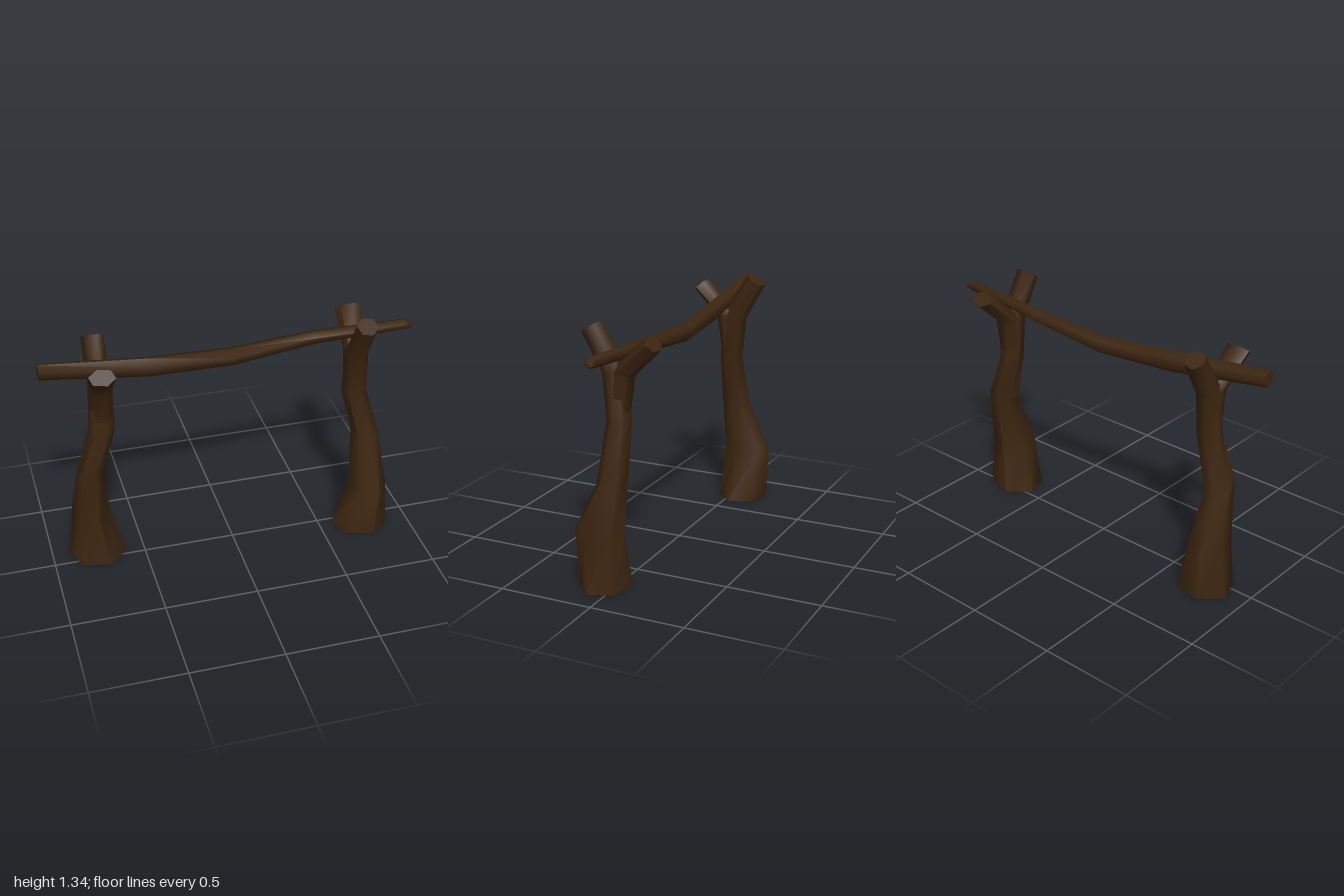
import * as THREE from 'three';
import { toCreasedNormals } from 'three/addons/utils/BufferGeometryUtils.js';

const SIDES = 6;

// Capped skin over rings { c: centre, u, v: half axes }, with u x v against the path.
function loft(rings, phase) {
  const pos = [], index = [];
  for (const { c, u, v } of rings) {
    for (let j = 0; j < SIDES; j++) {
      const a = phase + (j / SIDES) * Math.PI * 2;
      const p = c.clone().addScaledVector(u, Math.cos(a)).addScaledVector(v, Math.sin(a));
      pos.push(p.x, p.y, p.z);
    }
  }
  const last = (rings.length - 1) * SIDES;
  for (let j = 0; j < SIDES; j++) {
    const k = (j + 1) % SIDES;
    for (let r = 0; r < last; r += SIDES) {
      index.push(r + j, r + SIDES + j, r + k, r + k, r + SIDES + j, r + SIDES + k);
    }
    if (j > 0 && j < SIDES - 1) {
      index.push(0, j, k, last, last + k, last + j);
    }
  }
  const g = new THREE.BufferGeometry();
  g.setAttribute('position', new THREE.Float32BufferAttribute(pos, 3));
  g.setIndex(index);
  return toCreasedNormals(g, 1.12);
}

// Upright ring, tilted about the x axis
const upright = ([x, y, z, rx, rz, tilt = 0]) => ({
  c: new THREE.Vector3(x, y, z),
  u: new THREE.Vector3(rx, 0, 0),
  v: new THREE.Vector3(0, rz * Math.sin(tilt), rz * Math.cos(tilt)),
});

// Ring across the beam, skewed in x along its depth
const across = ([x, y, z, ry, rz, skew = 0]) => ({
  c: new THREE.Vector3(x, y, z),
  u: new THREE.Vector3(skew, 0, rz),
  v: new THREE.Vector3(0, ry, 0),
});

export function createModel() {
  const bark = new THREE.MeshStandardMaterial({ color: 0x3d2611 });
  bark.name = 'dark bark';
  const group = new THREE.Group();
  group.name = 'forkedPostFrame';

  // Crooked trunk that bends into the taller prong
  const trunk = loft([
    [-0.75, 0, -0.06, 0.155, 0.135],
    [-0.775, 0.29, -0.075, 0.1, 0.13],
    [-0.77, 0.59, 0, 0.074, 0.088, 0.42],
    [-0.695, 0.85, 0, 0.068, 0.062],
    [-0.692, 1.1, -0.022, 0.06, 0.066, 0.2],
    [-0.695, 1.308, -0.145, 0.058, 0.056, 0.55],
  ].map(upright), 0.24);

  // Lower prong that splits off the trunk
  const prong = loft([
    [-0.694, 0.88, 0, 0.055, 0.054],
    [-0.694, 1.1, 0.026, 0.06, 0.06, -0.3],
    [-0.708, 1.255, 0.193, 0.07, 0.046, -0.76],
  ].map(upright), 0.24);

  // The second post is the first one turned half round
  ['rightPost', 'leftPost'].forEach((name, i) => {
    const post = new THREE.Group();
    post.name = name;
    const a = new THREE.Mesh(trunk, bark);
    a.name = 'trunk';
    const b = new THREE.Mesh(prong, bark);
    b.name = 'forkProng';
    post.add(a, b);
    post.rotation.y = i * Math.PI;
    post.position.x = -0.02 * i;
    group.add(post);
  });

  // Sagging crossbeam with a chipped tip
  const beam = new THREE.Mesh(loft([
    [-1, 1.242, 0.03, 0.044, 0.043],
    [-0.44, 1.17, 0.005, 0.055, 0.046],
    [0, 1.145, -0.026, 0.047, 0.05],
    [0.45, 1.185, -0.037, 0.036, 0.04],
    [0.945, 1.207, -0.007, 0.028, 0.028, -0.008],
    [0.982, 1.2, -0.002, 0.01, 0.024, -0.012],
  ].map(across), 0.3), bark);
  beam.name = 'crossbeam';
  group.add(beam);

  return group;
}
